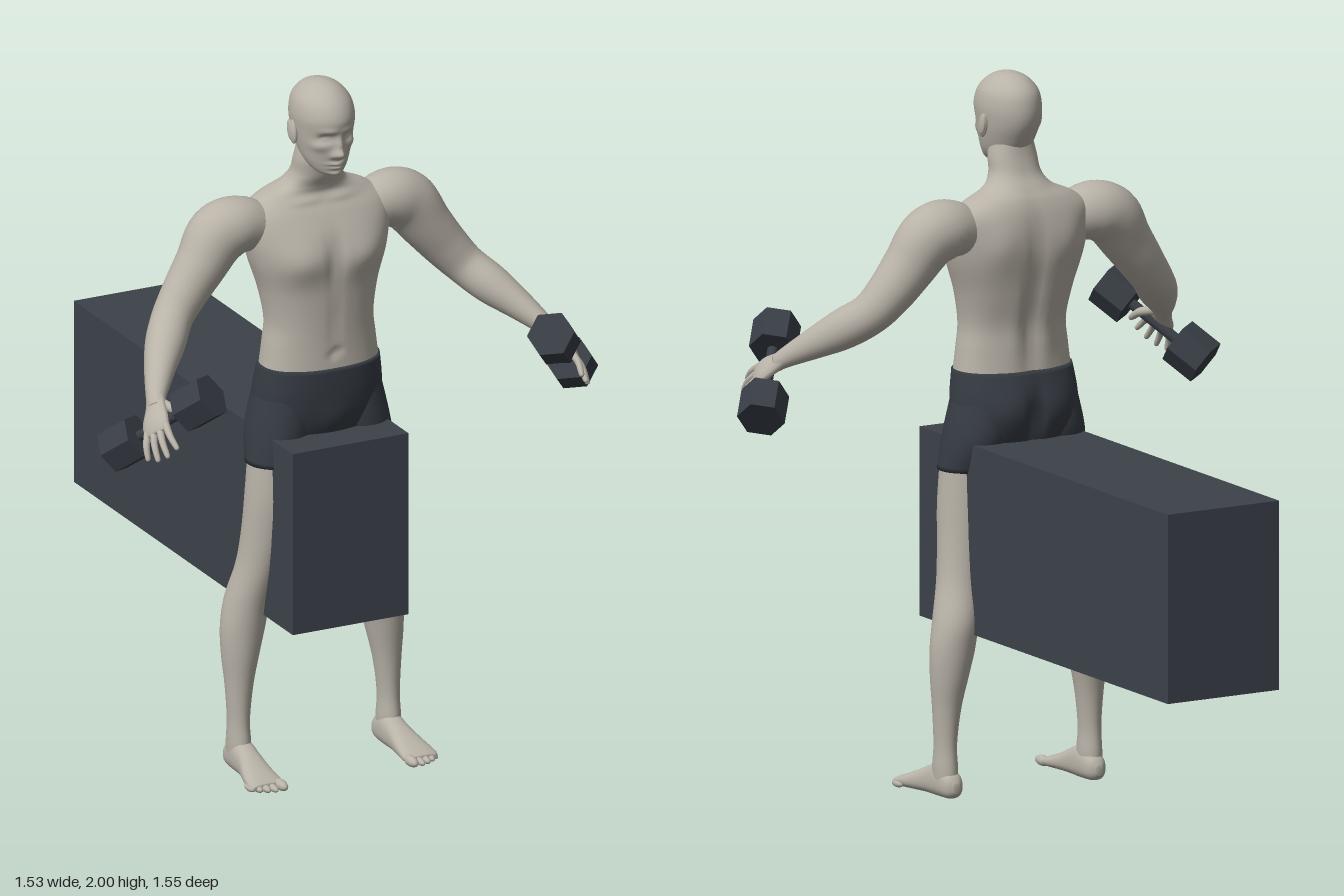
import * as THREE from 'three';
import { mergeGeometries } from 'three/addons/utils/BufferGeometryUtils.js';

const V = (x, y, z) => new THREE.Vector3(x, y, z);
const mat = (name, color) => {
  const m = new THREE.MeshStandardMaterial({ color });
  m.name = name;
  return m;
};

// Smooth skin through sections [x, y, z, halfWidth, front, back].
// "front" is the facing of each section; "axis" fixes the section normal if given.
function loft(rows, { front = V(0, 0, 1), axis = null, seg = 28, sub = 5, power = 1, bumps = [] } = {}) {
  const spline = (t) => {
    const i = Math.min(Math.floor(t), rows.length - 2), f = t - i;
    const at = (k) => rows[Math.max(0, Math.min(rows.length - 1, k))];
    return rows[0].map((_, k) => {
      const [a, b, c, d] = [at(i - 1)[k], at(i)[k], at(i + 1)[k], at(i + 2)[k]];
      return b + 0.5 * f * (c - a + f * (2 * a - 5 * b + 4 * c - d + f * (3 * (b - c) + d - a)));
    });
  };
  const n = (rows.length - 1) * sub, pos = [], idx = [];
  const rings = Array.from({ length: n + 1 }, (_, i) => spline(i / sub));
  const bend = (p, k) => Math.sign(p) * Math.abs(p) ** k;
  rings.forEach((r, i) => {
    const p = rings[Math.max(0, i - 1)], q = rings[Math.min(n, i + 1)];
    const t = axis ? axis.clone() : V(q[0] - p[0], q[1] - p[1], q[2] - p[2]).normalize();
    const v = front.clone().addScaledVector(t, -front.dot(t)).normalize();
    const u = t.clone().cross(v);
    for (let j = 0; j < seg; j++) {
      const a = (j / seg) * Math.PI * 2, s = Math.sin(a);
      const P = V(r[0], r[1], r[2]).addScaledVector(u, r[3] * bend(Math.cos(a), power))
        .addScaledVector(v, (s > 0 ? r[4] : r[5]) * bend(s, power));
      const base = P.clone();
      // Symmetric soft bumps: centre, spread, push
      for (const [c, w, d] of bumps) {
        const e = ((Math.abs(base.x) - c[0]) / w[0]) ** 2 + ((base.y - c[1]) / w[1]) ** 2 + ((base.z - c[2]) / w[2]) ** 2;
        const g = Math.exp(-e);
        P.x += Math.sign(base.x) * d[0] * g; P.y += d[1] * g; P.z += d[2] * g;
      }
      pos.push(P.x, P.y, P.z);
      if (i < n) {
        const A = i * seg + j, C = i * seg + ((j + 1) % seg);
        idx.push(A, A + seg, C, A + seg, C + seg, C);
      }
    }
  });
  const end = pos.length / 3;
  pos.push(...rings[0].slice(0, 3), ...rings[n].slice(0, 3));
  for (let j = 0; j < seg; j++) {
    const k = (j + 1) % seg;
    idx.push(end, j, k, end + 1, n * seg + k, n * seg + j);
  }
  const g = new THREE.BufferGeometry();
  g.setAttribute('position', new THREE.Float32BufferAttribute(pos, 3));
  g.setIndex(idx);
  g.computeVertexNormals();
  return g;
}

function mirrored(geo) {
  const g = geo.clone().scale(-1, 1, 1), a = g.index.array;
  for (let i = 0; i < a.length; i += 3) [a[i + 1], a[i + 2]] = [a[i + 2], a[i + 1]];
  return g;
}

function ball(x, y, z, rx, ry, rz, tilt = 0) {
  const g = new THREE.SphereGeometry(1, 16, 12).scale(rx, ry, rz).rotateX(tilt).translate(x, y, z);
  return g.deleteAttribute('uv');
}

export function createModel() {
  const model = new THREE.Group();
  const skin = mat('skin', 0xb8b2a7), cloth = mat('shorts cloth', 0x363b43);
  const pad = mat('bench grey', 0x3d424a), iron = mat('dumbbell iron', 0x383d45);
  const add = (name, geo, material) => {
    const m = new THREE.Mesh(geo, material);
    m.name = name;
    model.add(m);
    return m;
  };
  const pair = (name, geo, material) => {
    add(name + 'Left', geo, material);
    add(name + 'Right', mirrored(geo), material);
  };
  const up = V(0, 1, 0);

  // Bench block
  add('bench', new THREE.BoxGeometry(0.355, 0.53, 1.32), pad).position.set(0, 0.725, -0.12);

  // Torso and neck
  add('torso', loft([
    [0, 1.17, 0.345, 0.173, 0.108, 0.107], [0, 1.24, 0.345, 0.164, 0.105, 0.102],
    [0, 1.31, 0.345, 0.157, 0.105, 0.104], [0, 1.40, 0.34, 0.172, 0.112, 0.122],
    [0, 1.49, 0.335, 0.2, 0.118, 0.134], [0, 1.56, 0.33, 0.215, 0.108, 0.13],
    [0, 1.62, 0.32, 0.215, 0.085, 0.112], [0, 1.66, 0.31, 0.165, 0.065, 0.088],
    [0, 1.69, 0.315, 0.1, 0.062, 0.072], [0, 1.725, 0.328, 0.073, 0.064, 0.06],
    [0, 1.77, 0.343, 0.068, 0.058, 0.06], [0, 1.81, 0.35, 0.06, 0.05, 0.06],
  ], {
    axis: up, seg: 64, sub: 7, power: 0.88, bumps: [
      [[0.095, 1.5, 0.44], [0.075, 0.055, 0.08], [0, 0, 0.018]],
      [[0, 1.5, 0.45], [0.015, 0.07, 0.05], [0, 0, -0.012]],
      [[0, 1.32, 0.45], [0.012, 0.09, 0.05], [0, 0, -0.005]],
      [[0, 1.225, 0.45], [0.01, 0.012, 0.05], [0, 0, -0.01]],
      [[0, 1.38, 0.21], [0.022, 0.22, 0.06], [0, 0, 0.016]],
      [[0.11, 1.55, 0.21], [0.06, 0.07, 0.06], [0, 0, -0.012]],
      [[0.05, 1.28, 0.24], [0.03, 0.1, 0.05], [0, 0, -0.006]],
      [[0.05, 1.655, 0.37], [0.06, 0.012, 0.04], [0, 0, 0.008]],
    ],
  }), skin);

  // Head with sculpted face
  add('head', loft([
    [0, 1.742, 0.415, 0.02, 0.022, 0.03], [0, 1.755, 0.405, 0.043, 0.047, 0.055],
    [0, 1.785, 0.385, 0.062, 0.075, 0.085], [0, 1.83, 0.37, 0.074, 0.1, 0.1],
    [0, 1.87, 0.365, 0.081, 0.11, 0.112], [0, 1.91, 0.365, 0.084, 0.116, 0.115],
    [0, 1.95, 0.363, 0.076, 0.101, 0.103], [0, 1.98, 0.362, 0.053, 0.07, 0.073],
    [0, 1.995, 0.362, 0.027, 0.036, 0.036], [0, 2, 0.362, 0.003, 0.004, 0.004],
  ], {
    axis: up, seg: 72, sub: 9, bumps: [
      [[0, 1.815, 0.47], [0.013, 0.013, 0.05], [0, 0, 0.026]],
      [[0, 1.84, 0.47], [0.01, 0.022, 0.05], [0, 0, 0.014]],
      [[0.015, 1.81, 0.465], [0.008, 0.008, 0.04], [0, 0, 0.008]],
      [[0.034, 1.86, 0.46], [0.017, 0.012, 0.05], [0, 0, -0.015]],
      [[0.034, 1.858, 0.46], [0.01, 0.006, 0.05], [0, 0, 0.007]],
      [[0.03, 1.882, 0.47], [0.025, 0.009, 0.05], [0, 0, 0.005]],
      [[0, 1.784, 0.46], [0.024, 0.005, 0.05], [0, 0, 0.012]],
      [[0, 1.771, 0.46], [0.02, 0.005, 0.05], [0, 0, 0.01]],
      [[0, 1.75, 0.45], [0.022, 0.01, 0.04], [0, 0, 0.01]],
      [[0.05, 1.835, 0.44], [0.018, 0.014, 0.04], [0.003, 0, 0.005]],
    ],
  }), skin);
  pair('ear', mergeGeometries([
    ball(0.084, 1.857, 0.358, 0.01, 0.034, 0.019, -0.2),
    ball(0.09, 1.862, 0.352, 0.006, 0.03, 0.015, -0.2),
  ]), skin);

  // Shorts: hips and two short legs
  add('shortsHips', loft([
    [0, 1.182, 0.345, 0.176, 0.111, 0.112], [0, 1.1, 0.337, 0.186, 0.118, 0.126],
    [0, 1.02, 0.335, 0.182, 0.108, 0.118], [0, 0.95, 0.335, 0.14, 0.08, 0.09],
    [0, 0.91, 0.335, 0.05, 0.05, 0.05],
  ], {
    axis: V(0, -1, 0), seg: 56, power: 0.88, bumps: [
      [[0.08, 1.07, 0.21], [0.06, 0.06, 0.06], [0, 0, -0.012]],
      [[0, 1.05, 0.21], [0.016, 0.07, 0.06], [0, 0, 0.025]],
      [[0, 1.03, 0.45], [0.04, 0.05, 0.05], [0, 0, 0.008]],
    ],
  }), cloth);
  pair('shortsLeg', loft([
    [0.1, 1.12, 0.337, 0.08, 0.09, 0.1], [0.118, 1.0, 0.337, 0.09, 0.103, 0.108],
    [0.138, 0.905, 0.353, 0.083, 0.083, 0.081],
  ], { axis: V(0, -1, 0) }), cloth);

  // Legs
  pair('leg', loft([
    [0.135, 0.94, 0.352, 0.077, 0.076, 0.074], [0.145, 0.81, 0.352, 0.076, 0.078, 0.077],
    [0.16, 0.7, 0.342, 0.067, 0.074, 0.069], [0.178, 0.6, 0.328, 0.06, 0.07, 0.063],
    [0.2, 0.5, 0.31, 0.062, 0.067, 0.068], [0.212, 0.42, 0.306, 0.063, 0.062, 0.062],
    [0.221, 0.34, 0.308, 0.053, 0.055, 0.055], [0.227, 0.25, 0.312, 0.039, 0.044, 0.043],
    [0.23, 0.15, 0.315, 0.03, 0.038, 0.039], [0.23, 0.08, 0.315, 0.032, 0.046, 0.044],
    [0.23, 0.03, 0.315, 0.03, 0.045, 0.045],
  ], { axis: V(0, -1, 0), seg: 32 }), skin);

  // Feet with toes
  const foot = [loft([
    [0.228, 0.035, 0.255, 0.01, 0.012, 0.016], [0.228, 0.036, 0.275, 0.029, 0.036, 0.033],
    [0.228, 0.04, 0.33, 0.035, 0.055, 0.04], [0.23, 0.035, 0.385, 0.037, 0.043, 0.034],
    [0.235, 0.026, 0.44, 0.046, 0.027, 0.025], [0.237, 0.019, 0.49, 0.051, 0.016, 0.018],
    [0.237, 0.016, 0.51, 0.043, 0.009, 0.012],
  ], { axis: V(0, 0, 1), front: up, power: 0.85 })];
  for (let i = 0; i < 5; i++) {
    const r = i ? 0.0105 : 0.015;
    foot.push(ball([0.2, 0.225, 0.245, 0.264, 0.281][i], r + 0.002, 0.512 - i * i * 0.0018, r, r, 0.034 - i * 0.002).toNonIndexed());
  }
  foot.forEach((g, i) => {
    if (!g.index) g.setIndex([...Array(g.attributes.position.count).keys()]);
  });
  pair('foot', mergeGeometries(foot), skin);

  // Arms
  pair('arm', loft([
    [0.14, 1.57, 0.315, 0.06, 0.06, 0.06], [0.225, 1.592, 0.308, 0.085, 0.08, 0.08],
    [0.29, 1.572, 0.306, 0.084, 0.085, 0.085], [0.345, 1.5, 0.315, 0.075, 0.073, 0.073],
    [0.4, 1.43, 0.325, 0.067, 0.064, 0.064], [0.45, 1.372, 0.348, 0.06, 0.057, 0.057],
    [0.5, 1.325, 0.405, 0.058, 0.055, 0.055], [0.55, 1.28, 0.47, 0.046, 0.042, 0.042],
    [0.6, 1.23, 0.545, 0.03, 0.026, 0.026], [0.612, 1.212, 0.57, 0.028, 0.02, 0.02],
  ], { front: V(0.55, 0.75, -0.35).normalize(), sub: 6 }), skin);

  // Hands: reach runs along the fingers, grip along the dumbbell handle
  const grip = V(-0.523, 0.573, 0.63).normalize();
  const reach = V(0.3, -0.6, 0.74).normalize();
  const palm = reach.clone().cross(grip).normalize();
  const wrist = V(0.6, 1.23, 0.545);
  const handPoint = (along, across, inward) => wrist.clone().addScaledVector(reach, along)
    .addScaledVector(grip, across).addScaledVector(palm, inward);
  const part = (list) => loft(list.map(([a, c, i, w, h]) => [...handPoint(a, c, i).toArray(), w, h, h]),
    { front: palm, seg: 14, sub: 4 });
  const hand = [part([
    [-0.02, 0, 0, 0.028, 0.022], [0.03, 0, -0.004, 0.033, 0.018],
    [0.08, 0, -0.01, 0.044, 0.017], [0.115, 0, -0.008, 0.042, 0.012], [0.122, 0, -0.008, 0.03, 0.006],
  ])];
  for (let i = 0; i < 4; i++) {
    const k = i - 1.5, len = [0.075, 0.095, 0.1, 0.09][i];
    hand.push(part([
      [0.1, k * 0.021, -0.008, 0.011, 0.011], [0.1 + len * 0.5, k * 0.028, -0.006, 0.0095, 0.0095],
      [0.1 + len * 0.92, k * 0.034, 0.008, 0.0075, 0.0075], [0.1 + len, k * 0.035, 0.011, 0.003, 0.003],
    ]));
  }
  hand.push(part([
    [0.025, 0.018, 0.005, 0.014, 0.014], [0.06, 0.05, 0.02, 0.012, 0.012],
    [0.1, 0.066, 0.03, 0.009, 0.009], [0.115, 0.07, 0.032, 0.003, 0.003],
  ]));
  pair('hand', mergeGeometries(hand), skin);

  // Dumbbells with hexagonal heads
  const hex = new THREE.CylinderGeometry(0.066, 0.066, 0.1, 6).toNonIndexed();
  hex.computeVertexNormals();
  const bar = new THREE.CylinderGeometry(0.015, 0.015, 0.2, 16);
  for (const side of [1, -1]) {
    const dumbbell = new THREE.Group();
    dumbbell.name = side > 0 ? 'dumbbellLeft' : 'dumbbellRight';
    [['handle', bar, 0], ['upperHead', hex, 0.131], ['lowerHead', hex, -0.131]].forEach(([name, g, y]) => {
      const m = new THREE.Mesh(g, iron);
      m.name = name;
      m.position.y = y;
      dumbbell.add(m);
    });
    dumbbell.position.set(0.615 * side, 1.18, 0.61);
    dumbbell.quaternion.setFromUnitVectors(up, V(grip.x * side, grip.y, grip.z));
    model.add(dumbbell);
  }
  return model;
}
